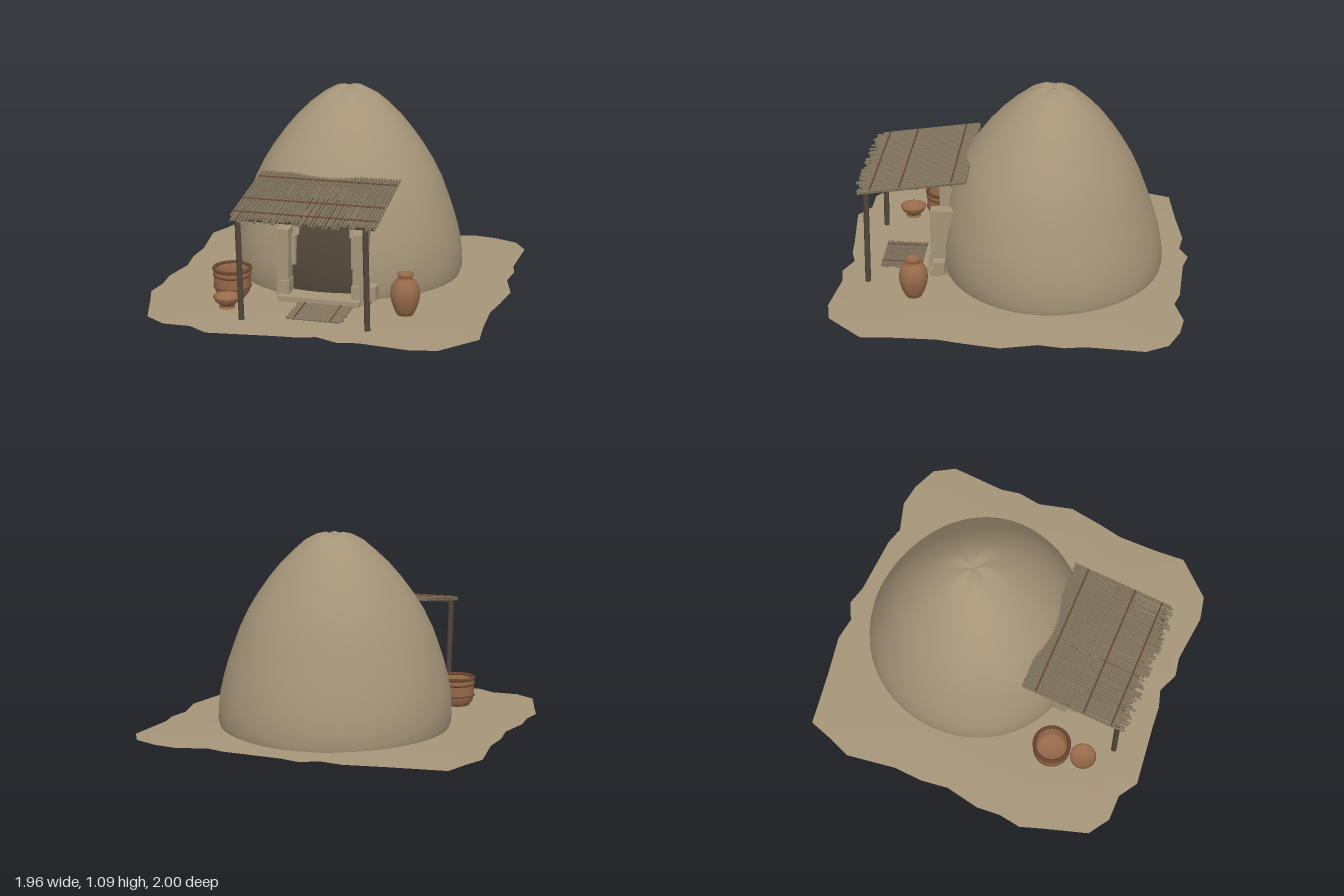
import * as THREE from 'three';

const mat = (name, color, side = THREE.FrontSide) => {
  const m = new THREE.MeshStandardMaterial({ color, side });
  m.name = name;
  return m;
};

export function createModel() {
  const root = new THREE.Group();
  root.name = 'clayHut';
  const clay = mat('clay', 0xa59478, THREE.DoubleSide);
  const dark = mat('darkInterior', 0x51473a, THREE.DoubleSide);
  const post = mat('postWood', 0x51463a);
  const reed = mat('reed', 0x83765f);
  const binding = mat('binding', 0x6b4c36);
  const pottery = mat('pottery', 0x976a4a, THREE.DoubleSide);
  const basketTrim = mat('basketTrim', 0x68442e);

  let seed = 7;
  const rand = () => (seed = (seed * 16807) % 2147483647) / 2147483647;

  const add = (name, geo, material, x = 0, y = 0, z = 0, parent = root) => {
    const m = new THREE.Mesh(geo, material);
    m.name = name;
    m.position.set(x, y, z);
    parent.add(m);
    return m;
  };
  const group = (name) => {
    const g = new THREE.Group();
    g.name = name;
    root.add(g);
    return g;
  };
  // Thin round stick between two points
  const up = new THREE.Vector3(0, 1, 0);
  const stick = (name, a, b, r, material, parent, sides = 6) => {
    const p = new THREE.Vector3(...a), q = new THREE.Vector3(...b);
    const d = q.clone().sub(p);
    const m = add(name, new THREE.CylinderGeometry(r, r, d.length(), sides), material, 0, 0, 0, parent);
    m.position.copy(p).add(q).multiplyScalar(0.5);
    m.quaternion.setFromUnitVectors(up, d.normalize());
  };
  const buffer = (pos, idx) => {
    const g = new THREE.BufferGeometry();
    g.setAttribute('position', new THREE.Float32BufferAttribute(pos, 3));
    g.setIndex(idx);
    g.computeVertexNormals();
    return g;
  };

  // Uneven patch of ground, gently raised in the middle
  const outline = [
    [-.88, -.89], [-.58, -.93], [-.34, -.97], [-.21, -.95], [-.11, -1], [0, -.97], [.34, -.95], [.44, -.92],
    [.61, -.97], [.74, -.95], [.88, -.89], [.95, -.77], [.93, -.45], [.95, -.34], [.93, -.2], [.98, 0],
    [.95, .19], [.92, .34], [.92, .57], [.93, .75], [.75, .95], [.61, .98], [.33, .95], [.22, .97],
    [.1, .92], [0, .95], [-.13, .96], [-.48, 1], [-.59, .93], [-.74, .93], [-.86, .85], [-.94, .59],
    [-.98, .47], [-.96, .34], [-.97, .2], [-.93, 0], [-.95, -.16], [-.94, -.33], [-.98, -.62], [-.93, -.74],
  ];
  const n = outline.length, gp = [], gi = [];
  [[0.01, .02], [0.55, .02], [0.8, .016], [1, .002]].forEach(([s, y], j) => outline.forEach(([x, z], i) => {
    gp.push(x * s, y, z * s);
    if (j === 0) return;
    const a = (j - 1) * n + i, b = (j - 1) * n + (i + 1) % n;
    gi.push(a, a + n, b + n, a, b + n, b);
  }));
  add('ground', buffer(gp, gi), clay);

  // Domed shell made of rings; keep() chooses which quads are built
  const profile = [
    [.64, .01], [.652, .05], [.652, .12], [.645, .2], [.626, .29], [.604, .37], [.57, .47], [.537, .56],
    [.488, .66], [.432, .75], [.367, .84], [.3, .92], [.228, .99], [.162, 1.045], [.1, 1.077], [.05, 1.088], [.004, 1.08],
  ];
  const segs = 144;
  const shell = (scale, keep) => {
    const pos = [], idx = [];
    profile.forEach(([r, y], j) => {
      for (let i = 0; i < segs; i++) {
        const a = ((i + 0.5) / segs) * Math.PI * 2;
        const wob = scale * (1 + 0.013 * Math.cos(3 * (a - 1.35)));
        const dent = y > 1.03 && r > .01 ? 0.004 * Math.sin(5 * a) : 0;
        pos.push(Math.sin(a) * r * wob, y + dent,
          -0.215 + 0.03 * Math.sin(Math.PI * y / 1.1) + Math.cos(a) * r * wob * .968);
        if (j === 0) continue;
        const mid = Math.abs(((i + 1) * 360 / segs + 180) % 360 - 180);
        if (!keep(mid, (y + profile[j - 1][1]) / 2)) continue;
        const p = (j - 1) * segs + i, q = (j - 1) * segs + (i + 1) % segs;
        idx.push(p, q, q + segs, p, q + segs, p + segs);
      }
    });
    return buffer(pos, idx);
  };
  // Stepped doorway, narrower toward the top
  const inDoor = (deg, y) => y < .56 && deg < (y < .37 ? 17.2 : y < .47 ? 14.2 : 12.2);
  add('dome', shell(1, (d, y) => !inDoor(d, y)), clay);
  add('doorwayShadow', shell(.965, (d, y) => d < 24 && y < .6), dark);

  // Door jambs, low side blocks and threshold
  const entrance = group('entrance');
  for (const s of [-1, 1]) {
    add('doorJamb', new THREE.BoxGeometry(.068, .4, .15), clay, s * .215, .22, .38, entrance);
    add('innerJamb', new THREE.BoxGeometry(.03, .17, .05), clay, s * .172, .29, .375, entrance);
    add('jambLedge', new THREE.BoxGeometry(.05, .1, .1), clay, s * .2, .08, .42, entrance);
  }
  add('sideBlock', new THREE.BoxGeometry(.06, .08, .07), clay, .275, .085, .405, entrance);
  add('sideBlockSmall', new THREE.BoxGeometry(.06, .04, .06), clay, .25, .045, .43, entrance);
  add('threshold', new THREE.BoxGeometry(.46, .03, .16), clay, 0, .04, .43, entrance);

  // Reed mat before the door
  const doorMat = group('doorMat');
  for (let i = 0; i < 24; i++) {
    const z = .515 + i * .0102;
    stick('matReed', [-.12 + rand() * .02, .027, z], [.18 + rand() * .02, .027, z], .0055, reed, doorMat, 5);
  }
  for (const x of [-.07, .13]) stick('matBinding', [x, .032, .51], [x, .032, .755], .004, binding, doorMat, 5);

  // Awning: two layers of ragged sloping reeds on two posts
  const awning = group('awning');
  const slope = (z) => .68 - (z - .23) * .148;
  const reeds = 48, step = .78 / (reeds - 1);
  for (const [layer, drop] of [[0, 0], [.5, .011]]) {
    for (let i = 0; i < reeds - layer * 2; i++) {
      const x = -.39 + (i + layer) * step;
      const z0 = .23 + rand() * .008, z1 = .8 + rand() * .06;
      stick('awningReed', [x, slope(z0) - drop, z0], [x + (rand() - .5) * .008, slope(z1) - drop, z1],
        .0065, reed, awning, 5);
    }
  }
  for (const z of [.315, .6, .765]) {
    stick('awningBinding', [-.39, slope(z) + .006, z], [.39, slope(z) + .006, z], .005, binding, awning);
  }
  for (const z of [.315, .505]) {
    stick('awningBatten', [-.385, slope(z) - .017, z], [.385, slope(z) - .017, z], .006, post, awning);
  }
  stick('frontBeam', [-.37, slope(.79) - .022, .79], [.37, slope(.79) - .022, .79], .012, post, awning, 8);
  for (const s of [-1, 1]) {
    stick('awningPost', [s * .345, .016, .8], [s * (s < 0 ? .36 : .33), .58, .795], .016, post, awning, 8);
  }

  // Clay vessels turned from profiles
  const lathe = (pts) => new THREE.LatheGeometry(pts.map(([r, y]) => new THREE.Vector2(r, y)), 32);
  add('waterJar', lathe([[0, 0], [.045, 0], [.06, .03], [.075, .075], [.081, .115], [.076, .155], [.06, .185],
    [.04, .2], [.036, .212], [.045, .222], [.046, .228], [.036, .229], [.03, .21], [0, .18]]), pottery, .487, .021, .52);
  add('bowl', lathe([[0, 0], [.042, 0], [.044, .008], [.065, .024], [.076, .05], [.07, .05], [.055, .028], [0, .016]]),
    pottery, -.472, .035, .655);
  add('bowlFoot', new THREE.CylinderGeometry(.04, .045, .016, 24), pottery, -.472, .029, .655);

  const pot = group('largePot');
  pot.position.set(-.5, .021, .47);
  add('potBody', lathe([[0, 0], [.075, 0], [.095, .03], [.103, .07], [.1, .12], [.105, .162], [.094, .162],
    [.09, .12], [.092, .07], [.08, .03], [0, .02]]), pottery, 0, 0, 0, pot);
  for (const [r, y, t] of [[.101, .16, .01], [.101, .125, .006], [.103, .06, .004]]) {
    add('potBand', new THREE.TorusGeometry(r, t, 8, 36).rotateX(Math.PI / 2), basketTrim, 0, y, 0, pot);
  }
  return root;
}
